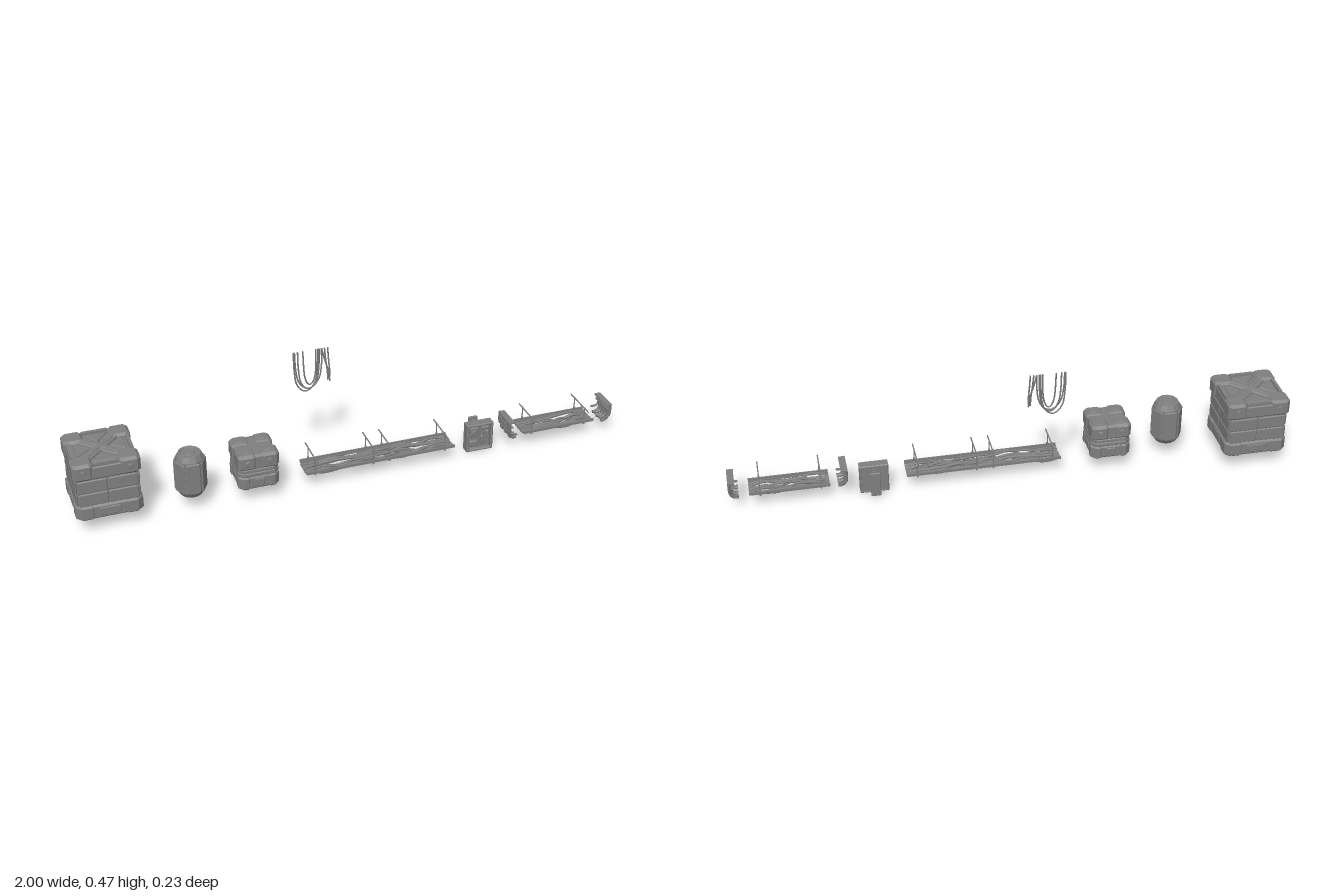
import * as THREE from 'three';

const flat = new THREE.MeshStandardMaterial({ color: 0x808080, flatShading: true });
const smooth = new THREE.MeshStandardMaterial({ color: 0x808080 });

let seed = 7;
const rnd = () => ((seed = (seed * 16807) % 2147483647) / 2147483647) * 2 - 1;

function add(parent, name, geo, x = 0, y = 0, z = 0, mat = flat) {
  const m = new THREE.Mesh(geo, mat);
  m.name = name;
  m.position.set(x, y, z);
  parent.add(m);
  return m;
}
function group(parent, name, x = 0, y = 0, z = 0) {
  const g = new THREE.Group();
  g.name = name;
  g.position.set(x, y, z);
  parent.add(g);
  return g;
}
const box = (w, h, d) => new THREE.BoxGeometry(w, h, d);

// Prism standing on y = 0 with chamfered top and bottom rims
function prism(points, h, c) {
  const s = new THREE.Shape(points.map(([x, y]) => new THREE.Vector2(x, y)));
  return new THREE.ExtrudeGeometry(s, {
    depth: h - 2 * c, bevelEnabled: true, bevelSegments: 1,
    bevelSize: c, bevelThickness: c, bevelOffset: -c,
  }).rotateX(-Math.PI / 2).translate(0, c, 0);
}
// Block with cut vertical corners
function block(w, h, d, cut, c) {
  const a = w / 2, b = d / 2;
  return prism([
    [-a + cut, -b], [a - cut, -b], [a, -b + cut], [a, b - cut],
    [a - cut, b], [-a + cut, b], [-a, b - cut], [-a, -b + cut],
  ], h, c);
}
// Chamfered plate rising from z = 0 towards +z
const plate = (w, h, t, cut, c) => block(w, t, h, cut, c).rotateX(Math.PI / 2);

function tube(parent, name, pts, r, steps = 24, sides = 6) {
  const curve = new THREE.CatmullRomCurve3(pts.map(p => new THREE.Vector3(...p)));
  const m = add(parent, name, new THREE.TubeGeometry(curve, steps, r, sides), 0, 0, 0, smooth);
  // close both ends
  [0, 1].forEach(t => {
    const cap = add(m, 'cableEnd', new THREE.CircleGeometry(r, sides), ...curve.getPointAt(t).toArray(), smooth);
    const dir = curve.getTangentAt(t).multiplyScalar(t ? 1 : -1);
    cap.quaternion.setFromUnitVectors(new THREE.Vector3(0, 0, 1), dir);
  });
}
function boss(parent, x, y, z, side, r) {
  add(parent, 'boss', new THREE.CylinderGeometry(r * 0.7, r, 0.004, 12), x, y, z).rotation.x = side * Math.PI / 2;
}
const corners = [[-1, -1], [1, -1], [1, 1], [-1, 1]];
const quarters = [0, 1, 2, 3].map(i => i * Math.PI / 2);

function largeCrate(root) {
  const g = group(root, 'largeCrate', -0.885, 0.06, 0);
  add(g, 'baseBand', block(0.224, 0.054, 0.224, 0.03, 0.007));
  add(g, 'wallCore', block(0.21, 0.104, 0.21, 0.014, 0.001), 0, 0.052, 0);
  add(g, 'topBand', block(0.22, 0.051, 0.22, 0.03, 0.006), 0, 0.154, 0);
  for (const [sx, sz] of corners) {
    add(g, 'baseCorner', block(0.076, 0.054, 0.076, 0.02, 0.006), sx * 0.077, 0, sz * 0.077);
    add(g, 'topCorner', block(0.072, 0.063, 0.072, 0.012, 0.009), sx * 0.079, 0.154, sz * 0.079);
    boss(g, sx * 0.079, 0.186, sz * 0.115, sz, 0.011);
  }
  for (const a of quarters) {
    const side = group(g, 'sidePanels');
    side.rotation.y = a;
    for (const y of [0.078, 0.128]) {
      for (const s of [-1, 1]) add(side, 'wallPanel', plate(0.101, 0.048, 0.006, 0.005, 0.003), s * 0.052, y, 0.103);
    }
    add(side, 'basePlate', plate(0.072, 0.03, 0.004, 0.003, 0.002), 0, 0.027, 0.11);
    add(side, 'topRim', box(0.09, 0.012, 0.012), 0, 0.208, 0.101);
    // triangular lid panel between the braces
    const tri = prism([[-0.042, -0.086], [0.042, -0.086], [0, -0.036]], 0.008, 0.003);
    add(side, 'lidPanel', tri, 0, 0.202, 0);
  }
  // crossed lid braces
  for (const s of [-1, 1]) {
    const brace = group(g, 'lidBrace', 0, 0.2, 0);
    brace.rotation.y = s * Math.PI / 4;
    add(brace, 'braceBar', block(0.22, 0.013, 0.034, 0.003, 0.004));
    add(brace, 'braceRidge', block(0.16, 0.016, 0.012, 0.002, 0.002));
  }
}

function smallCrate(root) {
  const g = group(root, 'smallCrate', -0.366, 0.06, 0.043);
  add(g, 'baseBand', block(0.138, 0.05, 0.138, 0.026, 0.006));
  add(g, 'collar', block(0.144, 0.016, 0.144, 0.018, 0.003), 0, 0.051, 0);
  add(g, 'waist', block(0.14, 0.014, 0.14, 0.016, 0.002), 0, 0.065, 0);
  add(g, 'lidCore', block(0.136, 0.058, 0.136, 0.02, 0.007), 0, 0.075, 0);
  for (const [sx, sz] of corners) {
    add(g, 'baseCorner', block(0.052, 0.051, 0.052, 0.018, 0.006), sx * 0.047, 0, sz * 0.047);
    add(g, 'topCorner', block(0.067, 0.061, 0.067, 0.012, 0.01), sx * 0.0395, 0.076, sz * 0.0395);
    boss(g, sx * 0.0395, 0.106, sz * 0.073, sz, 0.013);
    add(g, 'topCornerPad', block(0.03, 0.004, 0.03, 0.007, 0.0015), sx * 0.0395, 0.135, sz * 0.0395);
  }
  for (const a of quarters) {
    const side = group(g, 'sidePanel');
    side.rotation.y = a;
    add(side, 'basePlate', plate(0.036, 0.03, 0.005, 0.003, 0.002), 0, 0.026, 0.067);
  }
}

function barrel(root) {
  const g = group(root, 'barrel', -0.595, 0.06, 0.056);
  const profile = [[0, 0], [0.038, 0], [0.05, 0.018], [0.05, 0.142], [0.04, 0.162], [0.032, 0.162], [0.03, 0.158], [0, 0.158]];
  const shell = new THREE.LatheGeometry(profile.map(p => new THREE.Vector2(...p)), 12);
  add(g, 'shell', shell).rotation.y = Math.PI / 12;
  for (let i = 0; i < 6; i++) {
    const stave = group(g, 'stave');
    stave.rotation.y = i * Math.PI / 3;
    add(stave, 'stavePanel', plate(0.05, 0.118, 0.007, 0.004, 0.003), 0, 0.08, 0.045);
  }
  add(g, 'lidDisc', new THREE.CylinderGeometry(0.018, 0.02, 0.004, 8), 0, 0.159, 0);
}

// Crossbar with two posts that carries the rails
function hanger(parent, x) {
  const g = group(parent, 'hanger', x, 0, 0.046);
  add(g, 'crossbar', new THREE.CylinderGeometry(0.0025, 0.0025, 0.144, 6), 0, 0.118, 0).rotation.x = Math.PI / 2;
  add(g, 'rung', box(0.006, 0.004, 0.088), 0, 0.055, 0);
  for (const s of [-1, 1]) {
    add(g, 'post', new THREE.CylinderGeometry(0.002, 0.002, 0.066, 6), 0, 0.089, s * 0.041);
    add(g, 'nut', new THREE.CylinderGeometry(0.004, 0.004, 0.005, 6), 0, 0.077, s * 0.041);
  }
}

function cableTray(root, name, x0, x1, hangers) {
  const g = group(root, name);
  const mid = (x0 + x1) / 2, len = x1 - x0;
  // slim double rails along both edges
  for (const s of [-1, 1]) {
    add(g, 'outerRail', box(len, 0.01, 0.004), mid, 0.066, 0.046 + s * 0.045);
    add(g, 'innerRail', box(len, 0.006, 0.004), mid, 0.064, 0.046 + s * 0.036);
  }
  hangers.forEach(x => hanger(g, x));
  const n = Math.round(len / 0.06);
  for (let i = 0; i < 9; i++) {
    const z = 0.016 + i * 0.0075;
    const pts = [];
    for (let k = 0; k <= n; k++) {
      const free = k === 0 || k === n ? 0 : 1;
      pts.push([x0 + len * k / n, 0.058 + free * rnd() * 0.011, z + free * rnd() * 0.009]);
    }
    tube(g, 'trayCable', pts, i % 3 === 0 ? 0.006 : 0.0042, n * 6);
  }
}

// Tray section that turns upward; dir gives the side the riser is on
function trayElbow(root, name, x, dir) {
  const g = group(root, name, x, 0, 0);
  const X = v => dir * v;
  [0.081, 0.066, 0.046, 0.031, 0.016].forEach((z, i) => {
    const b = (i % 2) * 0.005;
    tube(g, 'elbowCable', [[X(-0.018), 0.05 + b, z], [X(-0.006), 0.051 + b, z], [X(0.004), 0.056 + b, z],
      [X(0.009), 0.066 + b, z], [X(0.009), 0.09, z], [X(0.011), 0.114, z]], 0.006, 20, 8);
  });
  for (const s of [-1, 1]) {
    const z = 0.046 + s * 0.045;
    tube(g, 'elbowRail', [[X(-0.018), 0.066, z], [X(-0.004), 0.066, z], [X(0.008), 0.071, z],
      [X(0.012), 0.085, z], [X(0.012), 0.118, z]], 0.005, 16, 4);
  }
  add(g, 'clamp', box(0.018, 0.006, 0.094), X(0.008), 0.097, 0.046);
  add(g, 'topBar', box(0.024, 0.005, 0.094), X(0.005), 0.116, 0.046);
}

function hangingCables(root) {
  const g = group(root, 'hangingCables');
  // x at left top, x at right top, lowest y
  [[-0.182, -0.093, 0.305], [-0.167, -0.088, 0.314], [-0.148, -0.1, 0.33], [-0.178, -0.08, 0.318]].forEach(([a, b, low], i) => {
    const m = (a + b) / 2, w = (b - a) / 2, z = -0.068 + i * 0.002;
    tube(g, 'loopCable', [[a, 0.465, -0.066], [a + 0.002, 0.4, z], [m - w * 0.78, low + 0.035, z], [m - w * 0.4, low + 0.008, z],
      [m, low, z], [m + w * 0.4, low + 0.008, z], [m + w * 0.78, low + 0.035, z], [b - 0.002, 0.4, z], [b, 0.465, -0.066]], 0.0028, 44);
  });
  [[-0.079, -0.053, 0.335], [-0.069, -0.059, 0.34], [-0.057, -0.051, 0.35]].forEach(([a, b, low], i) => {
    tube(g, 'looseCable', [[a, 0.465, -0.066], [a + (b - a) * 0.3, 0.43, -0.066], [a + (b - a) * 0.85, 0.375, -0.062],
      [b, low, -0.057 - i * 0.003]], 0.0028);
  });
}

function controlBox(root) {
  const g = group(root, 'controlBox', 0.486, 0, 0);
  add(g, 'housing', box(0.1, 0.108, 0.018), 0, 0.056, 0.028);
  for (const s of [-1, 1]) {
    add(g, 'frameSide', plate(0.009, 0.112, 0.036, 0.002, 0.003), s * 0.047, 0.056, 0.018);
    add(g, 'frameEdge', plate(0.102, 0.009, 0.036, 0.002, 0.003), 0, 0.056 + s * 0.0515, 0.018);
  }
  // raised face details: x, y, width, height
  [[-0.022, 0.078, 0.034, 0.038], [0.022, 0.09, 0.03, 0.012], [0.03, 0.064, 0.014, 0.026],
    [-0.022, 0.03, 0.034, 0.024], [0.012, 0.04, 0.012, 0.036]].forEach(([x, y, w, h]) =>
    add(g, 'facePlate', plate(w, h, 0.014, 0.003, 0.003), x, y, 0.036));
  add(g, 'dial', new THREE.CylinderGeometry(0.007, 0.01, 0.006, 12), -0.022, 0.078, 0.052).rotation.x = Math.PI / 2;
  // wall mount behind the housing
  add(g, 'wallPlate', plate(0.036, 0.096, 0.008, 0.003, 0.002), 0, 0.058, -0.022);
  for (const y of [0.028, 0.088]) {
    add(g, 'standoff', new THREE.CylinderGeometry(0.007, 0.007, 0.036, 10), 0, y, 0.003).rotation.x = Math.PI / 2;
    add(g, 'standoffFlange', box(0.024, 0.024, 0.005), 0, y, 0.018);
    add(g, 'standoffCollar', new THREE.CylinderGeometry(0.011, 0.011, 0.005, 10), 0, y, 0.004).rotation.x = Math.PI / 2;
  }
}

export function createModel() {
  const root = new THREE.Group();
  root.name = 'industrialProps';
  largeCrate(root);
  barrel(root);
  smallCrate(root);
  hangingCables(root);
  cableTray(root, 'longCableTray', -0.188, 0.37, [-0.157, 0.059, 0.12, 0.333]);
  controlBox(root);
  trayElbow(root, 'leftRisingElbow', 0.597, -1);
  cableTray(root, 'shortCableTray', 0.644, 0.926, [0.675, 0.888]);
  trayElbow(root, 'rightRisingElbow', 0.98, 1);
  return root;
}
